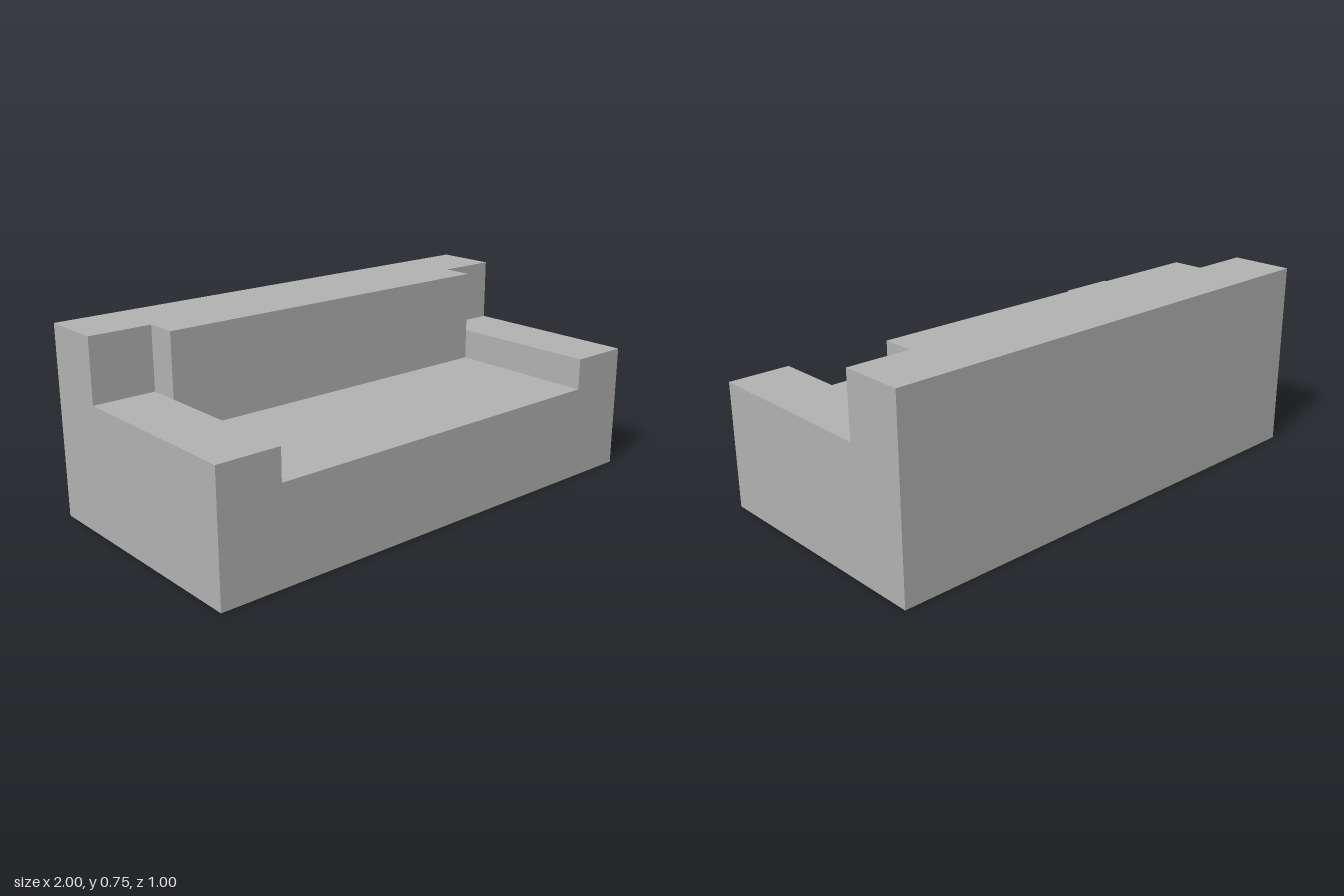
import * as THREE from 'three';

export function createModel() {
  const sofa = new THREE.Group();
  sofa.name = 'sofa';

  const grey = new THREE.MeshStandardMaterial({ color: 0xb2b2b2 });
  grey.name = 'light grey';

  // Adds a box spanning the given minimum and maximum corners
  function addBlock(name, [x0, y0, z0], [x1, y1, z1]) {
    const geometry = new THREE.BoxGeometry(x1 - x0, y1 - y0, z1 - z0);
    const mesh = new THREE.Mesh(geometry, grey);
    mesh.name = name;
    mesh.position.set((x0 + x1) / 2, (y0 + y1) / 2, (z0 + z1) / 2);
    sofa.add(mesh);
  }

  // Full-width back, and the thicker cushion between the arms
  addBlock('backrest', [-1, 0, -0.5], [1, 0.75, -0.25]);
  addBlock('backCushion', [-0.75, 0.375, -0.25], [0.75, 0.75, -0.125]);

  // Seat between the arms
  addBlock('seat', [-0.75, 0, -0.25], [0.75, 0.375, 0.5]);

  // Armrests
  addBlock('leftArm', [0.75, 0, -0.25], [1, 0.5, 0.5]);
  addBlock('rightArm', [-1, 0, -0.25], [-0.75, 0.5, 0.5]);

  return sofa;
}
